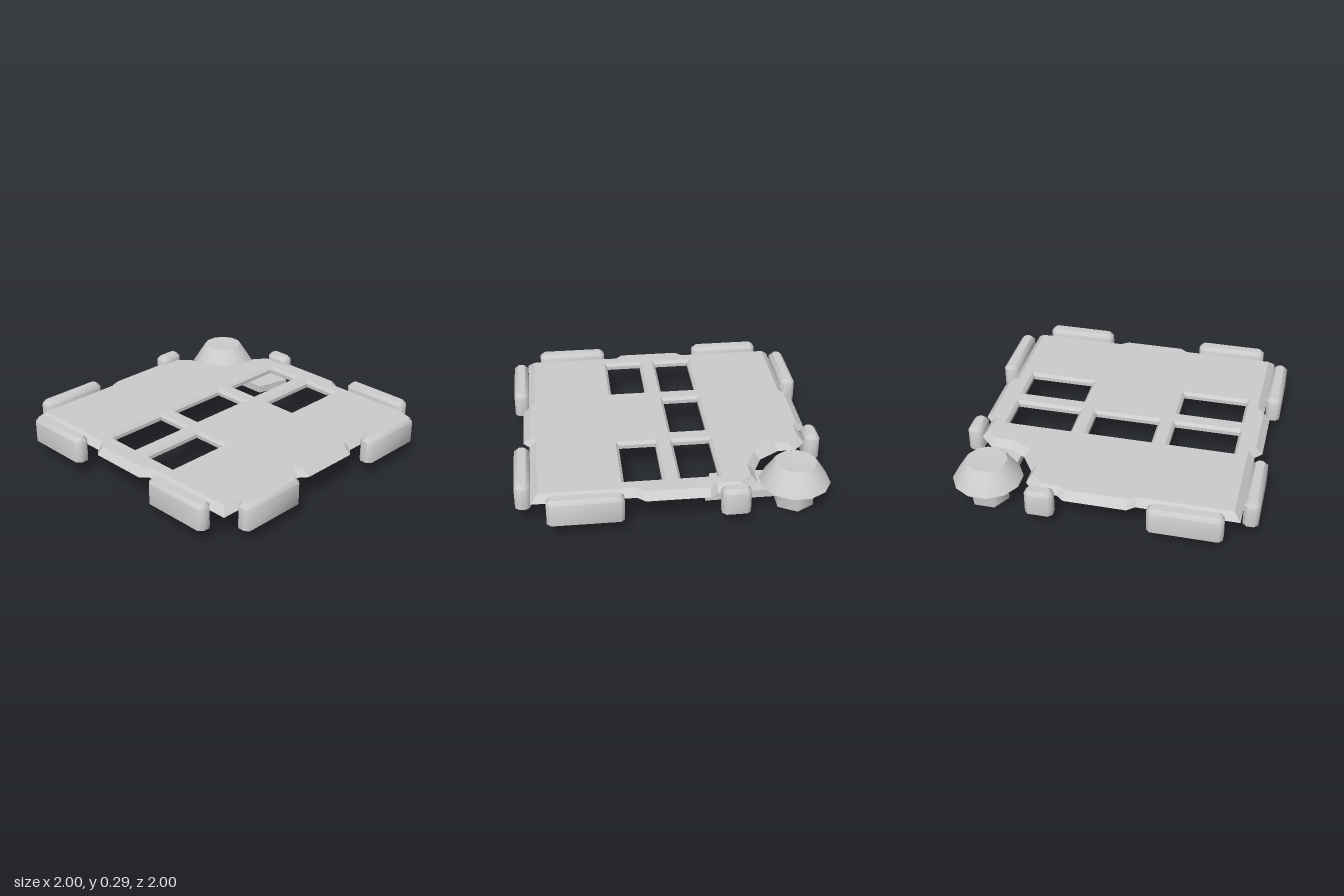
import * as THREE from 'three';
import { toCreasedNormals } from 'three/addons/utils/BufferGeometryUtils.js';

const material = new THREE.MeshStandardMaterial({ color: 0xcccccc, side: THREE.DoubleSide });

// Rings of [x, z] points, counter-clockwise from above, joined from the first level up
function skin(levels) {
  const pos = [];
  for (let k = 0; k + 1 < levels.length; k++) {
    const lo = levels[k], hi = levels[k + 1], n = lo.ring.length;
    for (let i = 0; i < n; i++) {
      const j = (i + 1) % n;
      const p = (level, m) => [level.ring[m][0], level.y, level.ring[m][1]];
      pos.push(...p(lo, i), ...p(lo, j), ...p(hi, j), ...p(lo, i), ...p(hi, j), ...p(hi, i));
    }
  }
  const geo = new THREE.BufferGeometry();
  geo.setAttribute('position', new THREE.Float32BufferAttribute(pos, 3));
  geo.computeVertexNormals();
  return geo;
}

// Flat horizontal sheet, optionally pierced by holes
function sheet(ring, y, holes = []) {
  const toPoints = (r) => r.map(([x, z]) => new THREE.Vector2(x, -z));
  const shape = new THREE.Shape(toPoints(ring));
  holes.forEach((h) => shape.holes.push(new THREE.Path(toPoints(h))));
  return new THREE.ShapeGeometry(shape).rotateX(-Math.PI / 2).translate(0, y, 0);
}

function add(parent, name, geo) {
  const mesh = new THREE.Mesh(geo, material);
  mesh.name = name;
  parent.add(mesh);
  return mesh;
}

// Rectangle with cut corners
function cutRect(hx, hz, c) {
  return [[hx, hz - c], [hx, -hz + c], [hx - c, -hz], [-hx + c, -hz],
    [-hx, -hz + c], [-hx, hz - c], [-hx + c, hz], [hx - c, hz]];
}

const rect = (x0, x1, z0, z1) => [[x1, z1], [x1, z0], [x0, z0], [x0, z1]];

export function createModel() {
  const model = new THREE.Group();
  model.name = 'platform';

  // Deck: flat top, sloping rim, a shallow tab on each side and a notch at the back corner
  const rim = [[0.9, 0.9], [0.9, 0.25], [0.945, 0.2], [0.945, -0.2], [0.9, -0.25],
    [0.9, -0.425], [0.815, -0.51], [0.69, -0.515], [0.565, -0.575], [0.475, -0.71], [0.475, -0.825], [0.39, -0.905],
    [0.25, -0.905], [0.2, -0.945], [-0.2, -0.945], [-0.25, -0.905], [-0.9, -0.905],
    [-0.9, -0.25], [-0.945, -0.2], [-0.945, 0.2], [-0.9, 0.25], [-0.9, 0.9],
    [-0.25, 0.9], [-0.2, 0.94], [0.2, 0.94], [0.25, 0.9]];
  const top = [[0.855, 0.855], [0.855, 0.25], [0.9, 0.2], [0.9, -0.2], [0.855, -0.25],
    [0.865, -0.4], [0.785, -0.47], [0.67, -0.47], [0.53, -0.54], [0.44, -0.69], [0.44, -0.78], [0.36, -0.86],
    [0.24, -0.86], [0.2, -0.89], [-0.2, -0.89], [-0.25, -0.86], [-0.855, -0.86],
    [-0.855, -0.25], [-0.9, -0.2], [-0.9, 0.2], [-0.855, 0.25], [-0.855, 0.855],
    [-0.25, 0.855], [-0.2, 0.89], [0.2, 0.89], [0.25, 0.855]];
  const openings = [[-0.767, -0.333, -0.275, -0.035], [-0.217, 0.217, -0.275, -0.035], [0.333, 0.767, -0.275, -0.035],
    [-0.767, -0.333, 0.08, 0.32], [0.333, 0.767, 0.08, 0.32]];
  const lip = 0.018;
  const wide = openings.map(([a, b, c, d]) => rect(a - lip, b + lip, c - lip, d + lip));
  add(model, 'deckTop', sheet(top, 0.245, wide));
  add(model, 'deckRim', skin([{ y: 0.2, ring: rim }, { y: 0.245, ring: top }]));
  openings.forEach((o, i) => add(model, 'openingLip', skin([
    { y: 0.245, ring: wide[i] }, { y: 0.225, ring: rect(...o) }, { y: 0.2, ring: rect(...o) }])));

  // Barriers around the edge: x, z, length, runs along z
  const barriers = [[0.95, 0.57, 0.475, true], [-0.95, 0.57, 0.475, true], [-0.95, -0.575, 0.475, true],
    [0.95, -0.355, 0.18, true], [0.57, 0.95, 0.475], [-0.57, 0.95, 0.475],
    [-0.57, -0.95, 0.475], [0.35, -0.95, 0.18]];
  for (const [x, z, length, alongZ] of barriers) {
    const h = length / 2, body = cutRect(h, 0.049, 0.025), crown = cutRect(h - 0.022, 0.027, 0.015);
    const barrier = new THREE.Group();
    barrier.name = 'barrier';
    add(barrier, 'barrierWall', toCreasedNormals(skin([
      { y: 0.1, ring: body }, { y: 0.245, ring: body }, { y: 0.27, ring: crown }]), 1));
    add(barrier, 'barrierTop', sheet(crown, 0.27));
    barrier.position.set(x, 0, z);
    if (alongZ) barrier.rotation.y = Math.PI / 2;
    model.add(barrier);
  }

  // Corner turret: hexagonal post under a hollow conical cap
  const turret = new THREE.Group();
  turret.name = 'turret';
  turret.position.set(0.748, 0, -0.764);
  const post = new THREE.CylinderGeometry(0.132, 0.132, 0.16, 6, 1, true, Math.PI / 2);
  add(turret, 'turretPost', post.translate(0, 0.08, 0));
  const profile = [[0.227, 0.155], [0.147, 0.28], [0.132, 0.295], [0.07, 0.293], [0, 0.288]]
    .map(([r, y]) => new THREE.Vector2(r, y));
  const cap = new THREE.LatheGeometry(profile, 12, Math.PI / 12);
  add(turret, 'turretCap', toCreasedNormals(cap, 0.6));
  model.add(turret);

  // Walkway running from the post to below the deck
  const path = [[0.835, -0.18], [0.835, -0.68], [0.61, -0.68], [0.61, -0.24]];
  add(model, 'walkwaySides', skin([{ y: 0.1, ring: path }, { y: 0.152, ring: path }]));
  add(model, 'walkwayTop', sheet(path, 0.152));

  return model;
}
